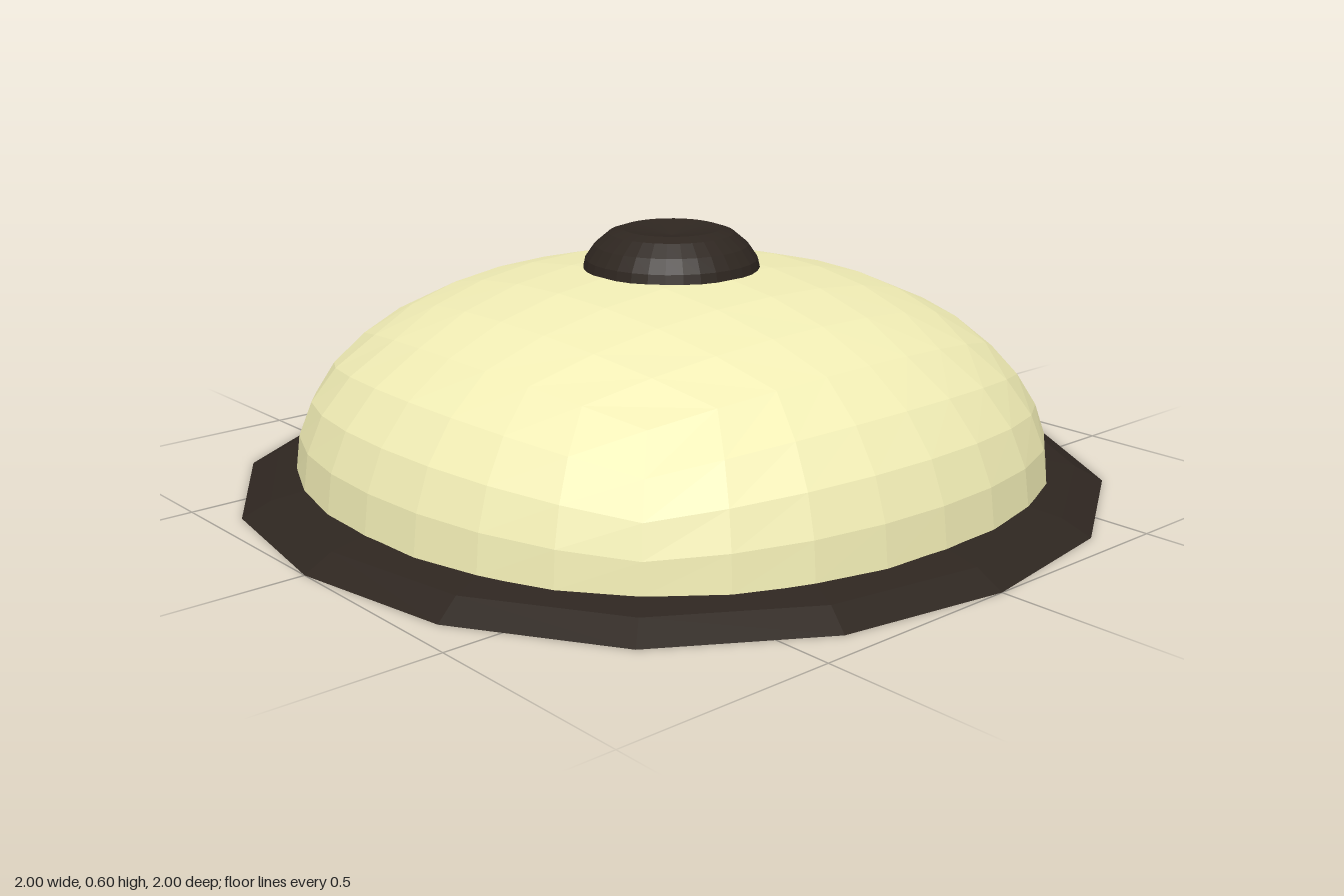
import * as THREE from 'three';

const dark = new THREE.MeshStandardMaterial({ color: 0x2e2620, flatShading: true });
const cream = new THREE.MeshStandardMaterial({ color: 0xf0ecb4, flatShading: true });

// Move every vertex of a geometry by a rule
function reshape(geometry, rule) {
  const pos = geometry.attributes.position;
  const v = new THREE.Vector3();
  for (let i = 0; i < pos.count; i++) {
    rule(v.fromBufferAttribute(pos, i));
    pos.setXYZ(i, v.x, v.y, v.z);
  }
  geometry.computeVertexNormals();
  return geometry;
}

// Lathe whose rings bulge slightly on the diagonals
function turned(name, profile, sides, bulge) {
  const geometry = new THREE.LatheGeometry(profile.map(([x, y]) => new THREE.Vector2(x, y)), sides);
  reshape(geometry, (v) => {
    const k = 1 + bulge * Math.sin(2 * Math.atan2(v.z, v.x)) ** 2;
    v.x *= k;
    v.z *= k;
  });
  const mesh = new THREE.Mesh(geometry, dark);
  mesh.name = name;
  return mesh;
}

// Upper half of a cube rounded into a sphere and squashed, open below
function createDome() {
  const geometry = new THREE.BoxGeometry(2, 1, 2, 8, 4, 8).translate(0, 0.5, 0);
  const bottom = geometry.groups[3];
  const index = Array.from(geometry.index.array);
  index.splice(bottom.start, bottom.count);
  geometry.setIndex(index);
  geometry.clearGroups();
  const warp = (t) => Math.tan(t * Math.PI / 4);
  reshape(geometry, (v) => {
    v.set(warp(v.x), warp(v.y), warp(v.z)).normalize();
    const [a, b, c] = [v.x * v.x, v.y * v.y, v.z * v.z];
    v.multiplyScalar(1 + 0.16 * (a * b + b * c + c * a));
    v.set(v.x * 0.855, 0.048 + v.y * 0.47, v.z * 0.855);
  });
  const mesh = new THREE.Mesh(geometry, cream);
  mesh.name = 'dome';
  return mesh;
}

export function createModel() {
  const model = new THREE.Group();
  model.name = 'domedLamp';

  // Sixteen-sided base plate with a sloping rim
  model.add(turned('basePlate', [[0, 0], [1, 0], [0.935, 0.035], [0.86, 0.05], [0, 0.05]], 16, 0.025));

  model.add(createDome());

  // Cap with a shallow dent on top
  model.add(turned('topKnob', [
    [0, 0.5], [0.205, 0.505], [0.2, 0.528], [0.178, 0.56], [0.145, 0.588],
    [0.115, 0.598], [0.08, 0.592], [0, 0.58],
  ], 32, 0.01));

  return model;
}
